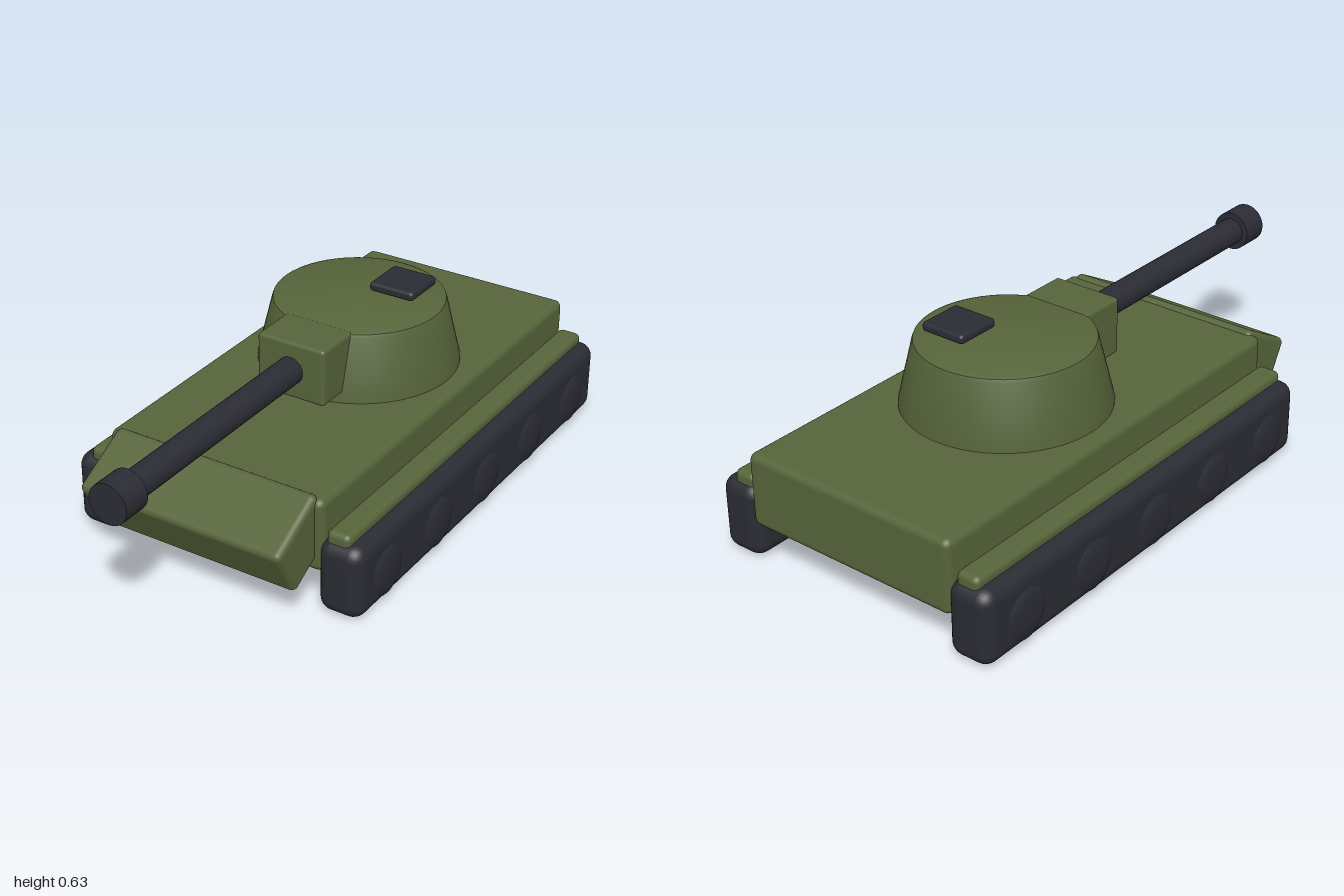
import * as THREE from 'three';
import { RoundedBoxGeometry } from 'three/addons/geometries/RoundedBoxGeometry.js';
import { toCreasedNormals } from 'three/addons/utils/BufferGeometryUtils.js';

export function createModel() {
  const model = new THREE.Group();
  model.name = 'tank';

  const green = new THREE.MeshStandardMaterial({ color: 0x56643a });
  green.name = 'olive green';
  const dark = new THREE.MeshStandardMaterial({ color: 0x2b2b34 });
  dark.name = 'dark grey';

  const add = (name, geometry, material, x = 0, y = 0, z = 0) => {
    const mesh = new THREE.Mesh(geometry, material);
    mesh.name = name;
    mesh.position.set(x, y, z);
    model.add(mesh);
    return mesh;
  };

  // Rounded box given by its limits on each axis
  const box = (name, material, [x0, x1], [y0, y1], [z0, z1], radius) =>
    add(name, new RoundedBoxGeometry(x1 - x0, y1 - y0, z1 - z0, 3, radius), material,
      (x0 + x1) / 2, (y0 + y1) / 2, (z0 + z1) / 2);

  const lathe = (points, segments) => toCreasedNormals(
    new THREE.LatheGeometry(points.map(([r, y]) => new THREE.Vector2(r, y)), segments), 0.6);

  // Hull and sloping front plate
  box('hull', green, [-0.38, 0.38], [0.13, 0.373], [-1, 0.52], 0.025);
  const glacis = add('frontPlate', new RoundedBoxGeometry(0.71, 0.19, 0.235, 3, 0.02), green, 0, 0.25, 0.56);
  glacis.rotation.x = 0.5;

  // Tracks, road wheels and fenders on both sides
  const wheelGeometry = lathe([
    [0, -0.083], [0.05, -0.083], [0.08, -0.076], [0.1, -0.055], [0.11, -0.03],
    [0.11, 0.03], [0.1, 0.055], [0.08, 0.076], [0.05, 0.083], [0, 0.083],
  ], 32).rotateZ(Math.PI / 2);
  for (const [side, s] of [['left', 1], ['right', -1]]) {
    const span = (a, b) => (s > 0 ? [a, b] : [-b, -a]);
    box(side + 'Track', dark, span(0.362, 0.512), [0.005, 0.25], [-1, 0.53], 0.045);
    box(side + 'Fender', green, span(0.385, 0.465), [0.2, 0.28], [-0.98, 0.51], 0.02);
    for (let i = 0; i < 5; i++) {
      add(side + 'Wheel' + (i + 1), wheelGeometry, dark, s * 0.437, 0.111, 0.37 - i * 0.3);
    }
  }

  // Turret with a softened top rim
  add('turret', lathe([
    [0, 0.36], [0.325, 0.36], [0.325, 0.38], [0.278, 0.575], [0.274, 0.585], [0.263, 0.59], [0, 0.59],
  ], 64), green, 0, 0, -0.295);
  box('mantlet', green, [-0.12, 0.12], [0.402, 0.592], [-0.06, 0.105], 0.012);
  box('hatch', dark, [0.03, 0.188], [0.604, 0.635], [-0.455, -0.3], 0.012);

  // Gun
  const rod = (r, length) => new THREE.CylinderGeometry(r, r, length, 32).rotateX(Math.PI / 2);
  add('barrel', rod(0.045, 0.9), dark, 0, 0.497, 0.5);
  add('muzzle', rod(0.065, 0.095), dark, 0, 0.497, 0.9525);

  return model;
}
